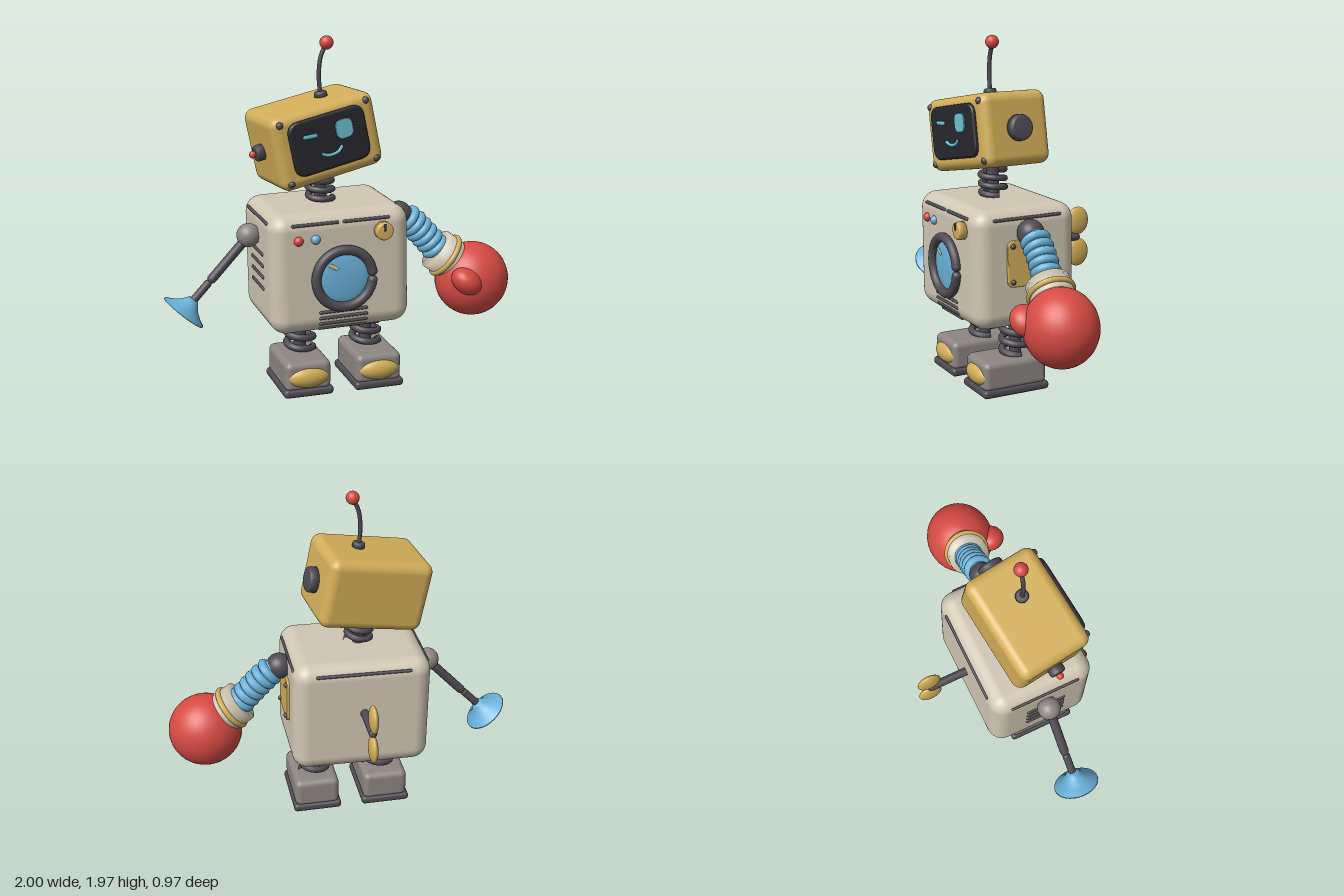
import * as THREE from 'three';
import { RoundedBoxGeometry } from 'three/addons/geometries/RoundedBoxGeometry.js';

const V = (x, y, z) => new THREE.Vector3(x, y, z);
const UP = V(0, 1, 0);

export function createModel() {
  const mat = (name, color, side = THREE.FrontSide) => {
    const m = new THREE.MeshStandardMaterial({ color, side });
    m.name = name;
    return m;
  };
  const cream = mat('cream', 0xd0c7b3), yellow = mat('mustard', 0xd2ae58), dark = mat('darkGrey', 0x4e4b52);
  const screenBlack = mat('screenBlack', 0x26272d), blue = mat('skyBlue', 0x6bb2da, THREE.DoubleSide);
  const red = mat('red', 0xd64a43), grey = mat('warmGrey', 0x8d8682), teal = mat('teal', 0x6ac0d2);

  const root = new THREE.Group();
  const add = (parent, name, geo, material, x = 0, y = 0, z = 0) => {
    const m = new THREE.Mesh(geo, material);
    m.name = name;
    m.position.set(x, y, z);
    parent.add(m);
    return m;
  };
  const group = (parent, name, x = 0, y = 0, z = 0) => {
    const g = new THREE.Group();
    g.name = name;
    g.position.set(x, y, z);
    parent.add(g);
    return g;
  };
  const ball = (r) => new THREE.SphereGeometry(r, 32, 24);
  const box = (w, h, d, r) => new RoundedBoxGeometry(w, h, d, 5, r);
  const tube = (pts, r) => new THREE.TubeGeometry(new THREE.CatmullRomCurve3(pts), 40, r, 12);
  const aim = (m, dir) => (m.quaternion.setFromUnitVectors(UP, dir.clone().normalize()), m);
  // straight rod with rounded ends
  const rod = (parent, name, a, b, r, material) => {
    const d = b.clone().sub(a), c = a.clone().add(b).multiplyScalar(0.5);
    return aim(add(parent, name, new THREE.CapsuleGeometry(r, d.length(), 6, 14), material, c.x, c.y, c.z), d);
  };
  // turned disc with a rounded rim, its base on y = 0
  const disc = (r, h, e = 0.012) => new THREE.LatheGeometry([
    [0, 0], [r, 0], [r, h - e], [r - e * 0.3, h - e * 0.3], [r - e, h], [0, h],
  ].map(([x, y]) => new THREE.Vector2(x, y)), 32);
  // rounded rectangle plate facing +z
  const plate = (w, h, r, depth, bevel) => {
    const s = new THREE.Shape(), x = w / 2 - bevel, y = h / 2 - bevel;
    s.moveTo(-x + r, -y);
    s.lineTo(x - r, -y).quadraticCurveTo(x, -y, x, -y + r);
    s.lineTo(x, y - r).quadraticCurveTo(x, y, x - r, y);
    s.lineTo(-x + r, y).quadraticCurveTo(-x, y, -x, y - r);
    s.lineTo(-x, -y + r).quadraticCurveTo(-x, -y, -x + r, -y);
    return new THREE.ExtrudeGeometry(s, { depth, bevelSize: bevel, bevelThickness: bevel, bevelSegments: 3, curveSegments: 8 });
  };
  // coil spring around a central post
  const spring = (name, x, y, z, h, r, wire, turns) => {
    const g = group(root, name, x, y, z), pts = [];
    for (let i = 0; i <= turns * 16; i++) {
      const a = (i / 16) * Math.PI * 2;
      pts.push(V(Math.cos(a) * r, (h * i) / (turns * 16), Math.sin(a) * r));
    }
    add(g, 'coil', new THREE.TubeGeometry(new THREE.CatmullRomCurve3(pts), turns * 28, wire, 10), dark);
    add(g, 'post', new THREE.CylinderGeometry(0.035, 0.035, h + 0.04, 16), dark, 0, h / 2, 0);
    return g;
  };

  // torso
  const W = 0.79, H = 0.67, D = 0.62, R = 0.09;
  const torso = group(root, 'torso', -0.08, 0.72, 0.12);
  torso.rotation.z = 0.02;
  add(torso, 'torsoShell', box(W, H, D, R), cream);
  // how far the rounded edge pulls in at height y
  const inset = (y) => {
    const d = Math.max(0, Math.abs(y) - (H / 2 - R));
    return R - Math.sqrt(R * R - d * d);
  };
  const front = (y) => D / 2 - inset(y), sideX = (y) => W / 2 - inset(y);
  const sy = 0.282;
  for (const x of [-0.148, 0.14]) rod(torso, 'frontSeam', V(x - 0.125, sy, front(sy)), V(x + 0.125, sy, front(sy)), 0.009, dark);
  rod(torso, 'backSeam', V(-0.265, sy, -front(sy)), V(0.265, sy, -front(sy)), 0.009, dark);
  for (const s of [-1, 1]) rod(torso, 'sideSeam', V(s * sideX(sy), sy, -0.2), V(s * sideX(sy), sy, 0.2), 0.009, dark);
  for (let i = 0; i < 4; i++) {
    const y = -0.215 - i * 0.033;
    rod(torso, 'frontVent', V(-0.13, y, front(y)), V(0.13, y, front(y)), 0.009, dark);
    rod(torso, 'sideVent', V(-W / 2, 0.09 - i * 0.065, -0.1), V(-W / 2, 0.09 - i * 0.065, 0.12), 0.01, dark);
  }

  // porthole with a split rim
  const port = group(torso, 'porthole', 0.005, -0.03, D / 2);
  add(port, 'glass', new THREE.SphereGeometry(0.145, 32, 16), blue).scale.z = 0.14;
  const gap = 0.16;
  const rim = add(port, 'rim', new THREE.TorusGeometry(0.16, 0.027, 14, 56, Math.PI * 2 - 2 * gap), dark, 0, 0, 0.015);
  rim.rotation.z = gap;
  for (const s of [-1, 1]) add(port, 'rimEnd', ball(0.027), dark, 0.16 * Math.cos(gap), s * 0.16 * Math.sin(gap), 0.015);
  const glare = add(port, 'glare', new THREE.CapsuleGeometry(0.011, 0.04, 4, 10), cream, -0.062, 0.07, 0.018);
  glare.rotation.z = 1.05;
  glare.scale.z = 0.4;

  // buttons and dial
  add(torso, 'redButton', ball(0.026), red, -0.245, 0.2, D / 2);
  add(torso, 'blueButton', ball(0.026), blue, -0.15, 0.2, D / 2);
  add(torso, 'dial', disc(0.05, 0.05), yellow, 0.23, 0.215, D / 2 - 0.003).rotation.x = Math.PI / 2;
  add(torso, 'dialMark', box(0.016, 0.04, 0.008, 0.003), dark, 0.23, 0.24, D / 2 + 0.048);

  // riveted side plate
  const sidePlate = group(torso, 'sidePlate', W / 2 - 0.005, 0.035, 0);
  sidePlate.rotation.y = Math.PI / 2;
  add(sidePlate, 'plate', plate(0.26, 0.26, 0.035, 0.015, 0.005), yellow);
  for (const x of [-1, 1]) for (const y of [-1, 1]) add(sidePlate, 'rivet', ball(0.015), dark, x * 0.1, y * 0.1, 0.02);

  // winding key
  const key = group(root, 'windingKey', -0.085, 0.755, 0);
  rod(key, 'shaft', V(0, 0, -0.17), V(0, 0, -0.41), 0.024, dark);
  for (const s of [-1, 1]) add(key, 'wing', ball(1), yellow, 0, s * 0.095, -0.42).scale.set(0.026, 0.083, 0.07);

  // neck, legs and feet
  spring('neck', -0.11, 1.06, 0.12, 0.15, 0.068, 0.018, 3).rotation.z = 0.06;
  for (const [lx, fx] of [[-0.235, -0.255], [0.155, 0.157]]) {
    spring('leg', lx, 0.2, 0.12, 0.19, 0.075, 0.02, 3);
    const foot = group(root, 'foot', fx, 0, 0.178);
    add(foot, 'sole', box(0.285, 0.048, 0.405, 0.02), dark, 0, 0.024, 0);
    add(foot, 'boot', box(0.262, 0.17, 0.385, 0.035), grey, 0, 0.115, 0);
    add(foot, 'toeCap', ball(1), yellow, 0, 0.11, 0.172).scale.set(0.12, 0.06, 0.052);
  }

  // head
  const head = group(root, 'head', -0.155, 1.417, 0.13);
  head.rotation.set(0, 0.125, 0.2, 'ZYX');
  add(head, 'headShell', box(0.61, 0.41, 0.43, 0.055), yellow);
  for (const x of [-1, 1]) for (const y of [-1, 1]) add(head, 'headBolt', ball(0.02), dark, x * 0.255, y * 0.163, 0.205);
  const face = group(head, 'face', 0, 0.01, 0.205);
  add(face, 'screen', plate(0.45, 0.3, 0.05, 0.015, 0.016), screenBlack);
  add(face, 'openEye', plate(0.1, 0.105, 0.038, 0.004, 0.003), teal, 0.09, 0.047, 0.031);
  const wink = rod(face, 'winkingEye', V(-0.14, 0.06, 0.032), V(-0.078, 0.054, 0.032), 0.011, teal);
  wink.scale.z = 0.5;
  add(face, 'smile', tube([V(-0.068, -0.05, 0.032), V(-0.035, -0.068, 0.032), V(0, -0.072, 0.032), V(0.035, -0.064, 0.032), V(0.062, -0.04, 0.032)], 0.009), teal);
  add(head, 'leftEar', disc(0.073, 0.055, 0.018), dark, 0.3, 0, 0).rotation.z = -Math.PI / 2;
  add(head, 'rightEar', disc(0.045, 0.05), dark, -0.3, 0, 0).rotation.z = Math.PI / 2;
  add(head, 'earTip', ball(0.02), red, -0.362, 0, 0);

  // antenna
  const antenna = group(root, 'antenna', -0.11, 1.63, 0.135);
  add(antenna, 'antennaBase', disc(0.036, 0.035), dark).rotation.z = 0.2;
  add(antenna, 'antennaStem', tube([V(-0.005, 0.02, 0), V(-0.013, 0.12, 0), V(-0.002, 0.22, 0), V(0.028, 0.29, 0)], 0.012), dark);
  add(antenna, 'antennaBall', ball(0.038), red, 0.03, 0.297, 0.003);

  // left arm: ribbed hose and boxing glove
  const leftArm = group(root, 'leftArm');
  add(leftArm, 'leftShoulder', ball(0.075), dark, 0.35, 0.935, 0.125);
  const path = new THREE.CatmullRomCurve3([V(0.34, 0.95, 0.125), V(0.41, 0.9, 0.125), V(0.5, 0.81, 0.13), V(0.6, 0.69, 0.145)]);
  add(leftArm, 'hose', new THREE.TubeGeometry(path, 24, 0.06, 18), blue);
  for (let i = 0; i < 6; i++) {
    const t = 0.22 + i * 0.13, p = path.getPointAt(t);
    const ring = add(leftArm, 'hoseRing', new THREE.TorusGeometry(0.06, 0.026, 10, 28), blue, p.x, p.y, p.z);
    ring.quaternion.setFromUnitVectors(V(0, 0, 1), path.getTangentAt(t));
  }
  const cuff = aim(group(leftArm, 'cuff', 0.575, 0.715, 0.145), V(0.79, -0.6, 0.1));
  add(cuff, 'cuffBand', disc(0.122, 0.12, 0.015), cream);
  const trim = add(cuff, 'cuffTrim', new THREE.TorusGeometry(0.12, 0.017, 10, 36), yellow, 0, 0.07, 0);
  trim.rotation.x = Math.PI / 2;
  add(leftArm, 'glove', ball(0.214), red, 0.785, 0.53, 0.178).scale.z = 0.94;
  const thumb = add(leftArm, 'thumb', ball(1), red, 0.688, 0.565, 0.335);
  thumb.scale.set(0.095, 0.07, 0.085);
  thumb.rotation.z = -0.65;

  // right arm: thin rods and suction cup
  const rightArm = group(root, 'rightArm');
  add(rightArm, 'rightShoulder', ball(0.066), grey, -0.525, 0.885, 0.122);
  rod(rightArm, 'upperArm', V(-0.53, 0.875, 0.122), V(-0.735, 0.655, 0.125), 0.026, dark);
  rod(rightArm, 'forearm', V(-0.76, 0.63, 0.127), V(-0.85, 0.535, 0.13), 0.022, dark);
  const cupProfile = [[0, 0], [0.03, 0.003], [0.042, 0.02], [0.062, 0.045], [0.095, 0.07], [0.13, 0.088], [0.132, 0.097], [0.118, 0.096], [0.07, 0.068], [0, 0.04]];
  const cup = add(rightArm, 'suctionCup', new THREE.LatheGeometry(cupProfile.map(([x, y]) => new THREE.Vector2(x, y)), 36), blue, -0.838, 0.55, 0.13);
  aim(cup, V(-0.65, -0.76, 0));

  return root;
}
